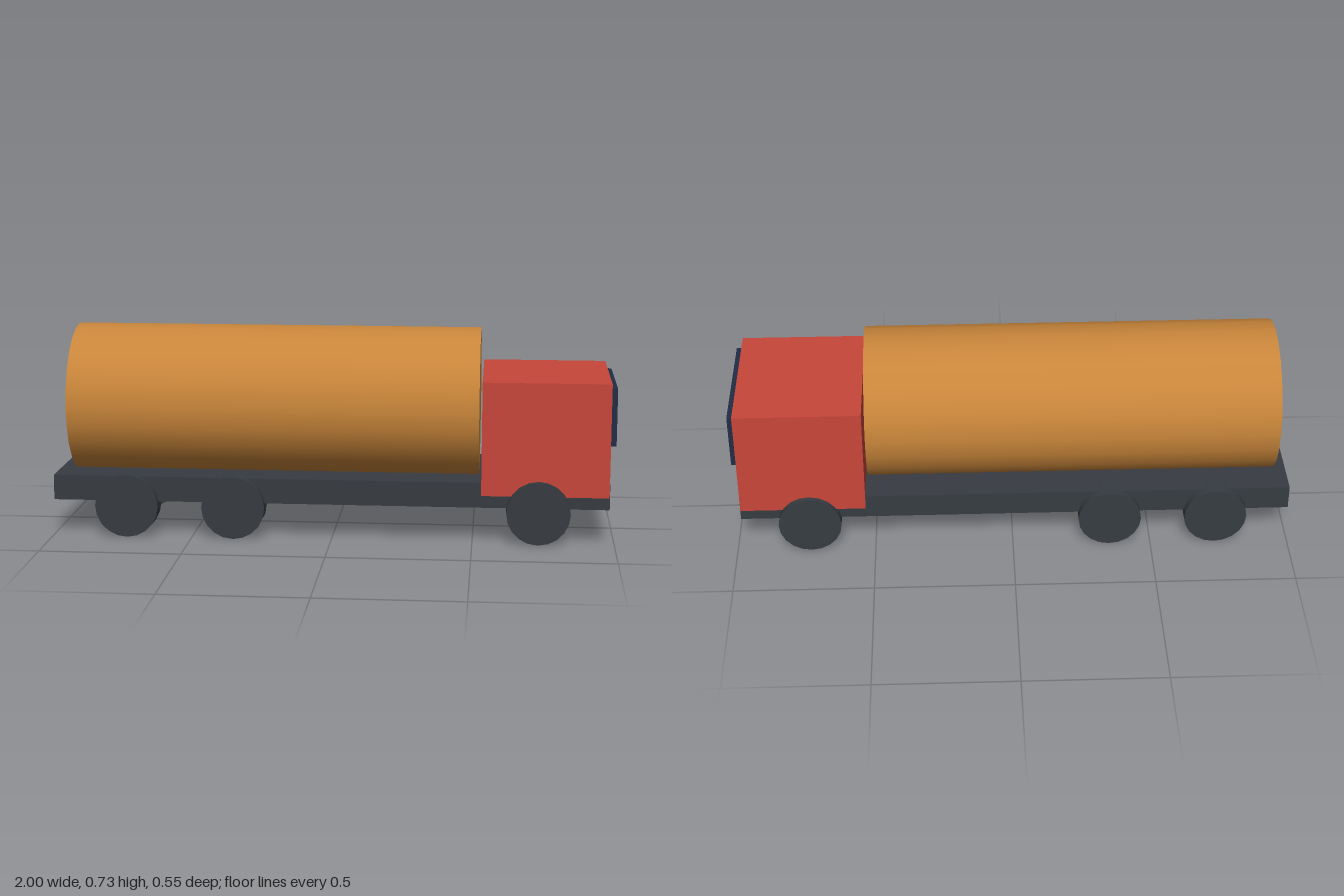
import * as THREE from 'three';

const paint = (name, color) => {
  const m = new THREE.MeshStandardMaterial({ color });
  m.name = name;
  return m;
};

export function createModel() {
  const truck = new THREE.Group();
  truck.name = 'tankTruck';

  const red = paint('cab red', 0xc8463a);
  const orange = paint('tank orange', 0xc8853a);
  const grey = paint('dark grey', 0x373c42);
  const glass = paint('navy glass', 0x212c45);

  const add = (name, geometry, material, x, y, z) => {
    const mesh = new THREE.Mesh(geometry, material);
    mesh.name = name;
    mesh.position.set(x, y, z);
    truck.add(mesh);
    return mesh;
  };

  // Box given by its extents in x and y, centred on z
  const addBox = (name, material, x0, x1, y0, y1, depth) =>
    add(name, new THREE.BoxGeometry(x1 - x0, y1 - y0, depth), material, (x0 + x1) / 2, (y0 + y1) / 2, 0);

  // Chassis sits a hair ahead of the cab face so it reads as a bumper
  addBox('chassis', grey, -1, 0.981, 0.126, 0.216, 0.495);
  addBox('cab', red, 0.53, 0.979, 0.171, 0.576, 0.518);
  addBox('windscreen', glass, 0.97, 1, 0.351, 0.554, 0.45);

  // Tank lies along x, sunk slightly into the chassis
  const tank = new THREE.CylinderGeometry(0.27, 0.27, 1.465, 24).rotateZ(Math.PI / 2);
  add('tank', tank, orange, -0.2125, 0.463, 0);

  // Three axles with a wheel on each side
  const radius = 0.113;
  const wheel = new THREE.CylinderGeometry(radius, radius, 0.079, 20).rotateX(Math.PI / 2);
  const axles = { front: 0.732, middle: -0.35, rear: -0.733 };
  for (const [axle, x] of Object.entries(axles)) {
    for (const side of [-1, 1]) {
      add(`${axle}Wheel${side > 0 ? 'Near' : 'Far'}`, wheel, grey, x, radius, side * 0.2365);
    }
  }

  return truck;
}
